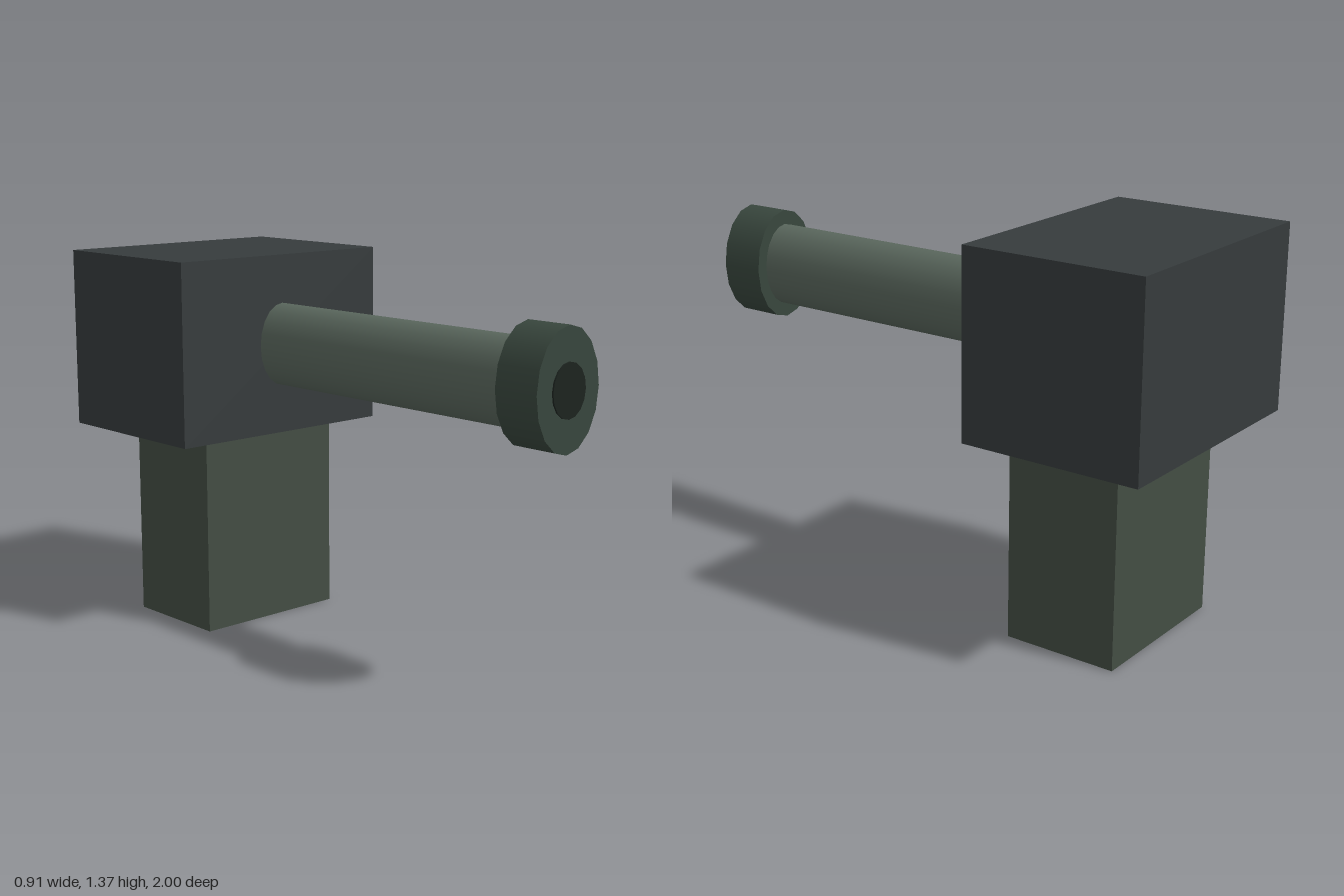
import * as THREE from 'three';

export function createModel() {
  const group = new THREE.Group();

  const add = (name, geometry, color, x, y, z) => {
    const mesh = new THREE.Mesh(geometry, new THREE.MeshStandardMaterial({ color }));
    mesh.name = name;
    mesh.position.set(x, y, z);
    group.add(mesh);
  };

  // Block spanning the given heights and depths, centred on x
  const block = (name, color, width, y0, y1, z0, z1) =>
    add(name, new THREE.BoxGeometry(width, y1 - y0, z1 - z0), color, 0, (y0 + y1) / 2, (z0 + z1) / 2);

  // Oval cylinder lying along z
  const tube = (name, color, rx, ry, z0, z1, sides) => {
    const geometry = new THREE.CylinderGeometry(1, 1, z1 - z0, sides);
    geometry.rotateX(Math.PI / 2).scale(rx, ry, 1);
    add(name, geometry, color, 0, 1.048, (z0 + z1) / 2);
  };

  // Upright post and the housing on top of it
  block('post', 0x434d43, 0.594, 0, 0.722, -0.835, -0.422);
  block('housing', 0x363b3c, 0.906, 0.722, 1.372, -1, -0.343);

  // Long barrel with a wider collar and a dark bore at its tip
  tube('barrel', 0x59665c, 0.104, 0.15, -0.36, 0.84, 20);
  tube('collar', 0x38463d, 0.147, 0.203, 0.826, 0.994, 16);
  tube('bore', 0x1c231f, 0.077, 0.09, 0.9, 1, 16);

  return group;
}
